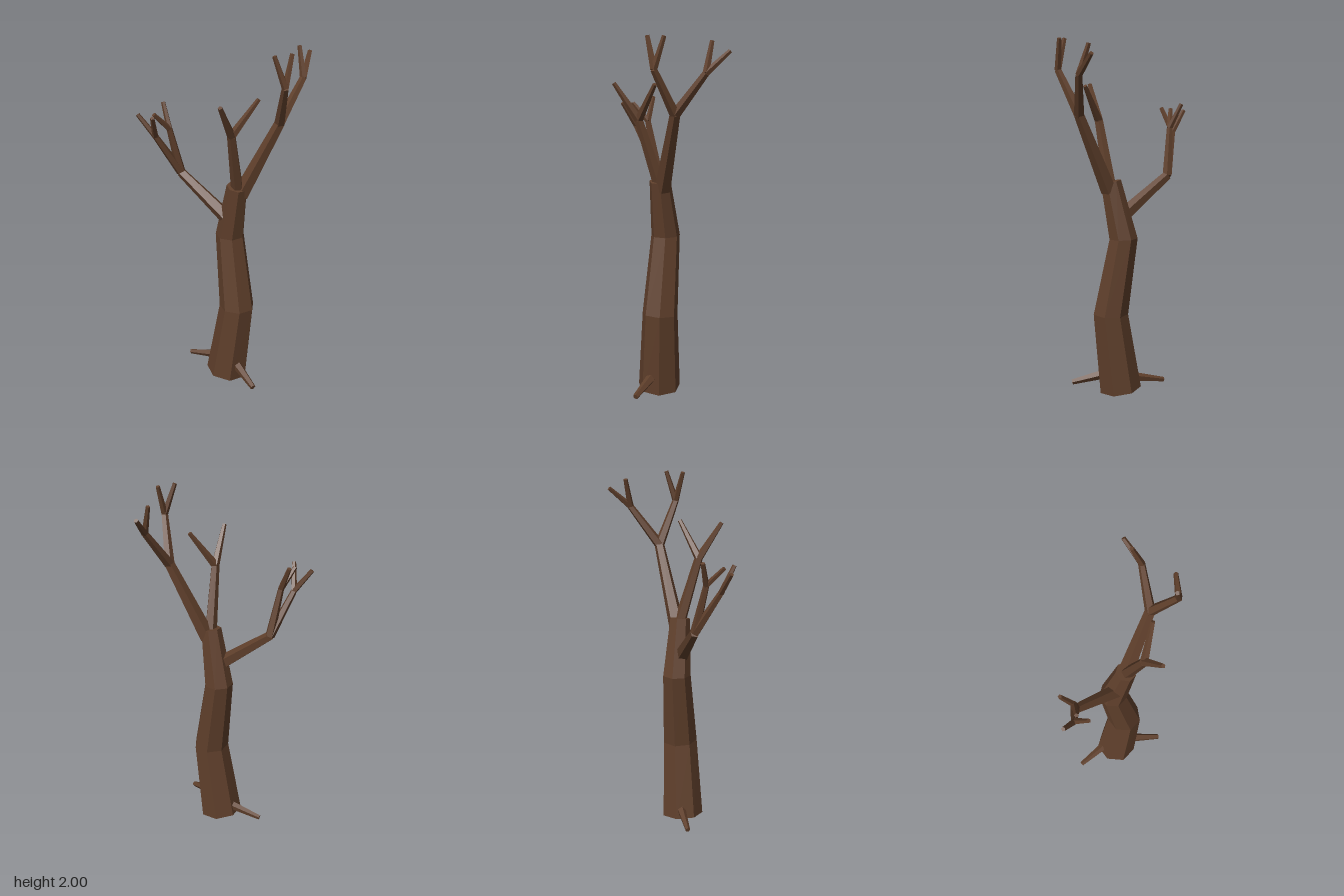
import * as THREE from 'three';

const V = (p) => new THREE.Vector3(p[0], p[1], p[2]);

// Tapered, capped limb through points [x, y, z, radius]; each ring is square to the path
function limbGeometry(points, sides, phase) {
  const centres = points.map(V);
  const last = points.length - 1;
  const up = new THREE.Vector3(0, 1, 0);
  const rings = points.map((p, i) => {
    const dir = new THREE.Vector3();
    if (i > 0) dir.add(centres[i].clone().sub(centres[i - 1]).normalize());
    if (i < last) dir.add(centres[i + 1].clone().sub(centres[i]).normalize());
    const q = new THREE.Quaternion().setFromUnitVectors(up, dir.normalize());
    return Array.from({ length: sides }, (_, k) => {
      const a = phase + (k / sides) * Math.PI * 2;
      return new THREE.Vector3(Math.cos(a) * p[3], 0, Math.sin(a) * p[3])
        .applyQuaternion(q).add(centres[i]);
    });
  });
  const tris = [];
  for (let k = 0; k < sides; k++) {
    const n = (k + 1) % sides;
    for (let i = 0; i < last; i++) {
      const lo = rings[i], hi = rings[i + 1];
      tris.push(lo[k], hi[k], lo[n], hi[k], hi[n], lo[n]);
    }
    tris.push(centres[0], rings[0][k], rings[0][n]);
    tris.push(centres[last], rings[last][n], rings[last][k]);
  }
  const geometry = new THREE.BufferGeometry().setFromPoints(tris);
  geometry.computeVertexNormals();
  return geometry;
}

export function createModel() {
  const tree = new THREE.Group();
  tree.name = 'bareTree';
  const bark = new THREE.MeshStandardMaterial({ color: 0x5f3f2b, flatShading: true });
  bark.name = 'brownBark';

  const addLimb = (parent, name, points, sides = 5, phase = 0.3) => {
    const mesh = new THREE.Mesh(limbGeometry(points, sides, phase), bark);
    mesh.name = name;
    parent.add(mesh);
  };

  // A branch is { from, to, forks }; every fork grows from the end of its parent
  const grow = (parent, name, from, branch) => {
    addLimb(parent, name, [from, branch.to]);
    (branch.forks || []).forEach((f, i) => grow(parent, `${name}Fork${i + 1}`, branch.to, f));
  };

  // Crooked seven-sided trunk
  addLimb(tree, 'trunk', [
    [0.062, 0.018, 0.03, 0.12],
    [0.122, 0.468, 0.035, 0.1],
    [0.062, 0.9, -0.006, 0.081],
    [0.117, 1.217, 0.035, 0.058],
  ], 7, 1.08);

  // Roots
  addLimb(tree, 'rightRoot', [[0.02, 0.09, 0, 0.028], [-0.195, 0.042, -0.03, 0.014]]);
  addLimb(tree, 'leftRoot', [[0.12, 0.108, 0.07, 0.03], [0.283, 0.046, 0.197, 0.016]]);

  // Main branches with their forks and twigs
  const tip = (x, y, z) => ({ to: [x, y, z, 0.012] });
  const branches = {
    rightBranch: {
      from: [0.05, 1.02, 0.025, 0.042],
      to: [-0.23, 1.235, -0.005, 0.027],
      forks: [
        { to: [-0.333, 1.47, 0.1, 0.017], forks: [tip(-0.425, 1.59, 0.12), tip(-0.31, 1.605, 0.183)] },
        { to: [-0.275, 1.5, 0.04, 0.017], forks: [tip(-0.327, 1.635, 0), tip(-0.332, 1.6, 0.118)] },
      ],
    },
    middleBranch: {
      from: [0.12, 1.18, 0.032, 0.036],
      to: [0.125, 1.55, 0.15, 0.024],
      forks: [tip(0.11, 1.745, 0.28), tip(0.248, 1.745, 0.082)],
    },
    leftBranch: {
      from: [0.135, 1.17, 0.022, 0.046],
      to: [0.335, 1.595, -0.01, 0.029],
      forks: [
        { to: [0.397, 1.83, 0.11, 0.019], forks: [tip(0.343, 1.997, 0.135), tip(0.413, 1.997, 0.06)] },
        { to: [0.413, 1.81, -0.155, 0.019], forks: [tip(0.408, 1.92, -0.28), tip(0.375, 1.97, -0.193)] },
      ],
    },
  };
  for (const [name, branch] of Object.entries(branches)) {
    const group = new THREE.Group();
    group.name = `${name}Group`;
    grow(group, name, branch.from, branch);
    tree.add(group);
  }
  return tree;
}
